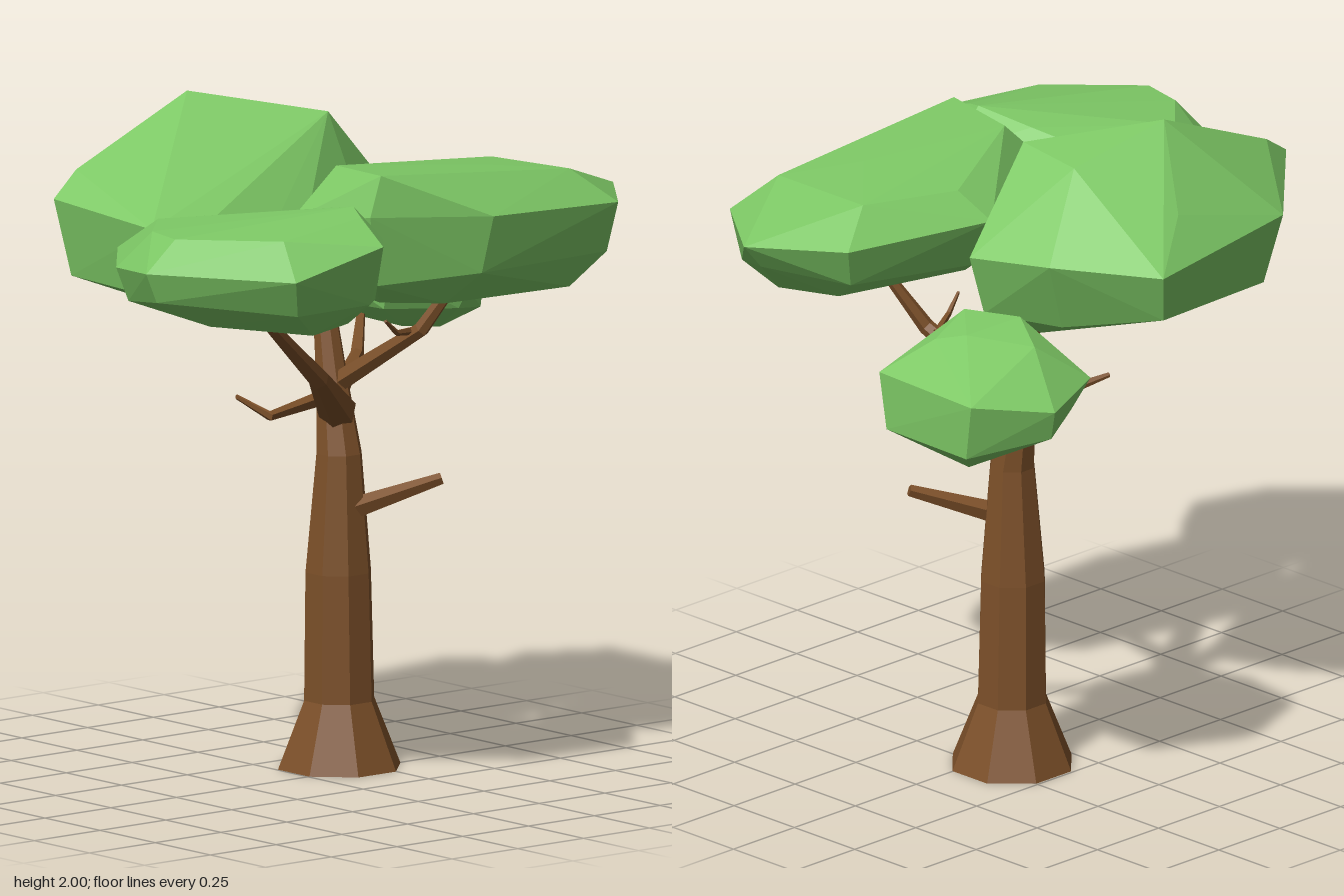
import * as THREE from 'three';
import { ConvexGeometry } from 'three/addons/geometries/ConvexGeometry.js';

const bark = new THREE.MeshStandardMaterial({ color: 0x7c5029, flatShading: true });
const leaf = new THREE.MeshStandardMaterial({ color: 0x7dc865, flatShading: true });

// Tapered limb: rows are [x, y, z, radius] from root to tip, rings face along dir
function limb(name, rows, sides, dir) {
  const n = rows.length - 1;
  const geo = new THREE.CylinderGeometry(1, 1, 1, sides, n, false, Math.PI / sides);
  const axis = dir || new THREE.Vector3(
    rows[n][0] - rows[0][0], rows[n][1] - rows[0][1], rows[n][2] - rows[0][2]).normalize();
  const turn = new THREE.Quaternion().setFromUnitVectors(new THREE.Vector3(0, 1, 0), axis);
  const pos = geo.attributes.position;
  const v = new THREE.Vector3();
  for (let i = 0; i < pos.count; i++) {
    const [x, y, z, r] = rows[Math.round((pos.getY(i) + 0.5) * n)];
    v.set(pos.getX(i) * r, 0, pos.getZ(i) * r).applyQuaternion(turn);
    pos.setXYZ(i, x + v.x, y + v.y, z + v.z);
  }
  geo.computeVertexNormals();
  const mesh = new THREE.Mesh(geo, bark);
  mesh.name = name;
  return mesh;
}

// Faceted leaf mass wrapped around its corner points
function foliage(name, corners) {
  const mesh = new THREE.Mesh(
    new ConvexGeometry(corners.map((c) => new THREE.Vector3(...c))), leaf);
  mesh.name = name;
  return mesh;
}

export function createModel() {
  const tree = new THREE.Group();
  tree.name = 'tree';

  // Trunk with flared foot
  tree.add(limb('trunk', [
    [-0.07, 0, -0.177, 0.187], [-0.07, 0.2, -0.177, 0.107], [-0.072, 0.58, -0.175, 0.1],
    [-0.072, 0.93, -0.178, 0.069], [-0.105, 1.12, -0.182, 0.05], [-0.17, 1.45, -0.19, 0.028],
  ], 8, new THREE.Vector3(0, 1, 0)));

  // Branches
  tree.add(
    limb('stubBranch', [[-0.03, 0.765, -0.18, 0.034], [0.13, 0.855, -0.4, 0.018]], 5),
    limb('frontBranch', [[-0.08, 1.05, -0.18, 0.058], [0.18, 1.22, 0.11, 0.031],
      [0.29, 1.46, 0.42, 0.017]], 6),
    limb('rightBranch', [[-0.1, 1.13, -0.19, 0.035], [0.18, 1.32, -0.28, 0.024],
      [0.26, 1.48, -0.36, 0.016]], 6),
    limb('backBranch', [[-0.09, 1.09, -0.18, 0.03], [-0.29, 1.16, -0.43, 0.02],
      [-0.4, 1.28, -0.54, 0.011]], 6),
    limb('smallBranch', [[-0.09, 1.1, -0.16, 0.026], [-0.03, 1.08, 0.12, 0.015],
      [-0.12, 1.13, 0.17, 0.008]], 5),
    limb('twig', [[0.14, 1.31, -0.28, 0.013], [0.2, 1.325, -0.17, 0.009],
      [0.22, 1.37, -0.11, 0.005]], 5),
  );

  // Large left canopy: crown, rim, underside
  tree.add(foliage('leftCanopy', [
    [-0.37, 2, 0.15], [-0.23, 1.95, -0.04], [-0.1, 1.94, -0.16], [-0.32, 1.92, -0.17],
    [-0.08, 1.86, 0.12], [-0.58, 1.8, 0], [-0.36, 1.82, 0.58],
    [-0.7, 1.68, -0.18], [-0.61, 1.7, 0.4], [-0.33, 1.75, 0.69], [-0.05, 1.75, 0.48],
    [0.02, 1.7, 0.61], [0.1, 1.66, 0.55], [0.14, 1.6, 0.3], [0.12, 1.62, 0.12],
    [-0.02, 1.7, -0.2], [-0.16, 1.67, -0.44], [-0.42, 1.69, -0.37],
    [-0.66, 1.53, -0.14], [-0.57, 1.49, 0.36], [-0.31, 1.52, 0.64], [0.05, 1.48, 0.55],
    [-0.33, 1.41, 0.34], [-0.13, 1.36, 0.1], [0.03, 1.37, 0.12], [0.09, 1.41, 0.28],
    [-0.16, 1.36, -0.16], [-0.38, 1.47, -0.28], [-0.16, 1.48, -0.38],
  ]));

  // Long right canopy
  tree.add(foliage('rightCanopy', [
    [0.45, 1.86, 0.1], [0.2, 1.85, 0.06], [0.34, 1.82, -0.38], [0.14, 1.79, -0.58],
    [0.47, 1.8, -0.6], [0.05, 1.78, -0.28],
    [0.31, 1.7, -0.9], [0.08, 1.69, -0.7], [-0.01, 1.68, -0.36], [-0.05, 1.7, -0.24],
    [0.17, 1.7, 0.21], [0.45, 1.74, 0.14], [0.58, 1.72, -0.22], [0.56, 1.7, -0.71],
    [0.31, 1.62, -0.83], [0.11, 1.57, -0.66], [0.52, 1.55, -0.7], [0.55, 1.55, -0.2],
    [0.43, 1.53, 0.1], [0.17, 1.53, 0.14], [0.02, 1.55, -0.26],
    [0.22, 1.49, -0.6], [0.47, 1.45, -0.6], [0.44, 1.45, -0.15], [0.35, 1.46, 0.02],
    [0.15, 1.47, -0.15],
  ]));

  // Front canopy
  tree.add(foliage('frontCanopy', [
    [0.48, 1.79, 0.23], [0.3, 1.76, 0.27], [0.55, 1.77, 0.26], [0.2, 1.74, 0.3],
    [0.06, 1.74, 0.62], [0.2, 1.74, 0.76], [0.34, 1.74, 0.79], [0.57, 1.74, 0.57],
    [-0.04, 1.65, 0.69], [0.12, 1.63, 0.83], [0.34, 1.65, 0.9], [0.65, 1.63, 0.59],
    [0.7, 1.71, 0.3], [0.47, 1.68, 0.11], [0.14, 1.64, 0.32],
    [0.03, 1.49, 0.62], [0.14, 1.53, 0.8], [0.34, 1.56, 0.86], [0.61, 1.52, 0.55],
    [0.64, 1.53, 0.3], [0.46, 1.5, 0.13], [0.18, 1.5, 0.3],
    [0.13, 1.43, 0.48], [0.32, 1.46, 0.64], [0.5, 1.43, 0.4], [0.42, 1.43, 0.2],
  ]));

  // Low back canopy
  tree.add(foliage('backCanopy', [
    [-0.36, 1.54, -0.65], [-0.53, 1.52, -0.54], [-0.24, 1.56, -0.54], [-0.4, 1.56, -0.47],
    [-0.28, 1.52, -0.7], [-0.57, 1.42, -0.84], [-0.19, 1.43, -0.84], [-0.06, 1.36, -0.66],
    [-0.13, 1.42, -0.42], [-0.36, 1.4, -0.38], [-0.6, 1.4, -0.38], [-0.695, 1.38, -0.62],
    [-0.67, 1.29, -0.61], [-0.54, 1.25, -0.83], [-0.22, 1.26, -0.84], [-0.08, 1.3, -0.64],
    [-0.17, 1.31, -0.43], [-0.56, 1.3, -0.42],
    [-0.46, 1.18, -0.74], [-0.26, 1.21, -0.72], [-0.5, 1.23, -0.58], [-0.25, 1.24, -0.56],
  ]));

  return tree;
}
